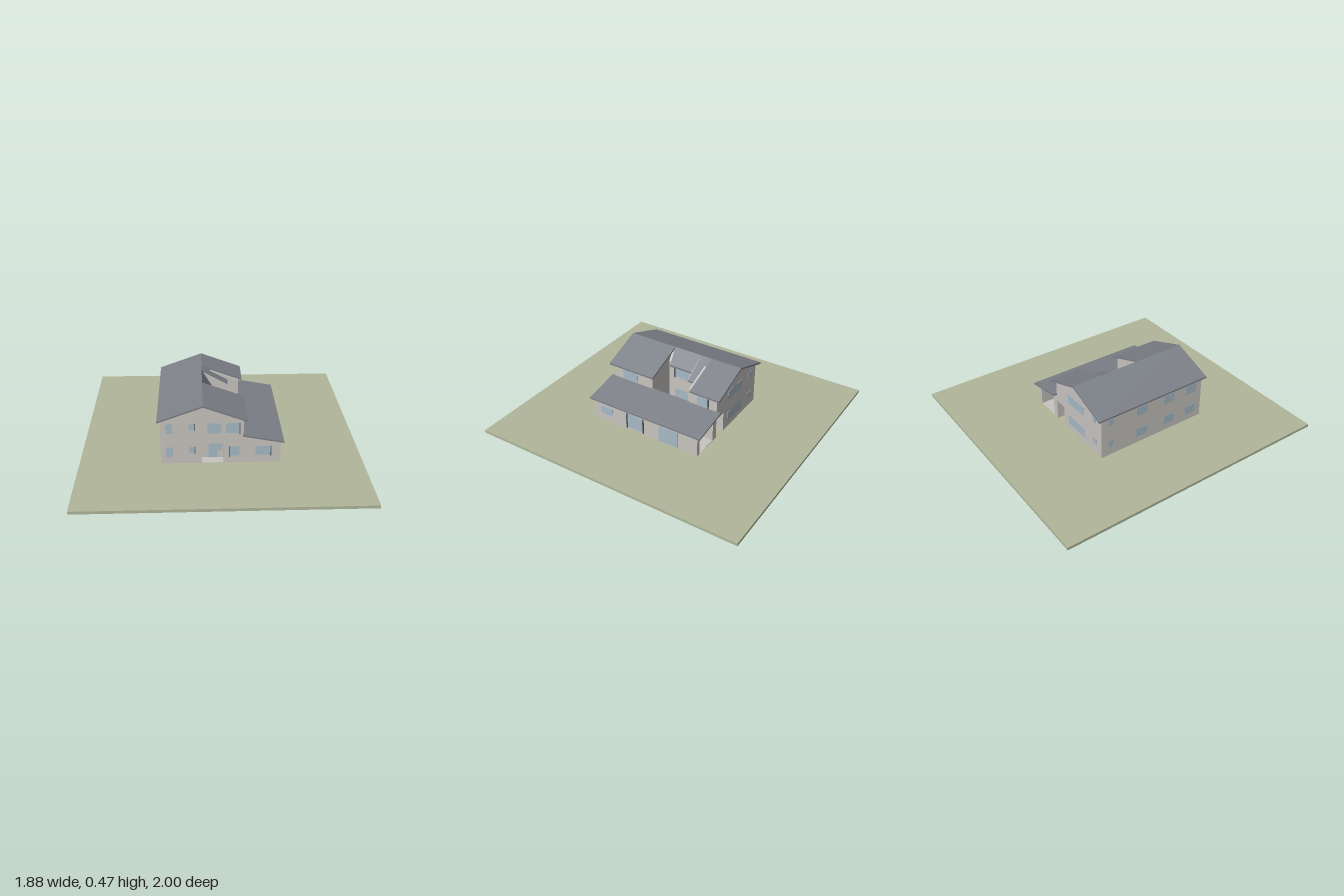
import * as THREE from 'three';

const mat = (name, color) => {
  const m = new THREE.MeshStandardMaterial({ color });
  m.name = name;
  return m;
};

export function createModel() {
  const wall = mat('plaster', 0xc8c4c0);
  const roof = mat('roof slate', 0x7d8188);
  const lawn = mat('lawn', 0xb0b69a);
  const glass = mat('window glass', 0xa6bac6);
  const trim = mat('window trim', 0x6c7074);

  const model = new THREE.Group();
  model.name = 'house';

  const add = (name, geo, material) => {
    const mesh = new THREE.Mesh(geo, material);
    mesh.name = name;
    model.add(mesh);
    return mesh;
  };
  const box = (name, x0, x1, y0, y1, z0, z1, material) =>
    add(name, new THREE.BoxGeometry(x1 - x0, y1 - y0, z1 - z0), material)
      .position.set((x0 + x1) / 2, (y0 + y1) / 2, (z0 + z1) / 2);

  // Extrude an x-y section from z0 to z1
  const section = (name, pts, z0, z1, material, hole) => {
    const v = (list) => list.map(([x, y]) => new THREE.Vector2(x, y));
    const shape = new THREE.Shape(v(pts));
    if (hole) shape.holes.push(new THREE.Path(v(hole)));
    const geo = new THREE.ExtrudeGeometry(shape, { depth: z1 - z0, bevelEnabled: false });
    geo.translate(0, 0, z0);
    add(name, geo, material);
  };
  // Sloping roof slab between two top edge points
  const slab = (name, [ax, ay], [bx, by], z0, z1, t = 0.012) =>
    section(name, [[ax, ay - t], [bx, by - t], [bx, by], [ax, ay]], z0, z1, roof);

  // Ground
  box('lawn', -0.94, 0.94, 0.015, 0.035, -1, 1, lawn);

  // Main wing walls, in slices along z
  const gable = [[0.145, 0.354], [-0.12, 0.453], [-0.4, 0.351]];
  section('frontWing', [[-0.4, 0], [0.145, 0], ...gable], 0.13, 0.385, wall);
  section('frontWallWithPorch', [[-0.4, 0], [-0.13, 0], [-0.13, 0.18], [0.015, 0.18],
    [0.015, 0], [0.145, 0], ...gable], 0.385, 0.455, wall);
  box('porchFloor', -0.13, 0.015, 0, 0.037, 0.385, 0.455, wall);
  section('middleWing', [[-0.4, 0], [-0.07, 0], [-0.07, 0.365], [-0.12, 0.448], [-0.4, 0.351]],
    -0.1, 0.13, wall);
  section('stairTower', [[-0.4, 0], [0.045, 0], [0.045, 0.357], [-0.12, 0.449], [-0.4, 0.351]],
    -0.17, -0.1, wall);
  section('backWingOverPassage', [[-0.4, 0], [0.05, 0], [0.05, 0.185], [0.145, 0.185], ...gable],
    -0.39, -0.17, wall);

  // Low side wing with open garage at the back
  const low = [[0.145, 0], [0.39, 0], [0.39, 0.191], [0.145, 0.237]];
  section('lowWing', low, -0.09, 0.455, wall);
  section('garage', low, -0.39, -0.09, wall,
    [[0.19, 0.038], [0.19, 0.215], [0.36, 0.183], [0.36, 0.038]]);

  // Roofs
  const ridge = [-0.12, 0.465];
  slab('leftRoof', [-0.42, 0.357], ridge, -0.42, 0.48);
  slab('frontRightRoof', ridge, [0.17, 0.357], 0.11, 0.48);
  slab('backRightRoof', ridge, [0.17, 0.357], -0.42, -0.19);
  slab('towerRoof', ridge, [0.065, 0.36], -0.19, -0.11);
  slab('steepCourtyardRoof', ridge, [-0.05, 0.35], -0.11, 0.11, 0.014);
  slab('lowRoof', [0.14, 0.25], [0.41, 0.199], -0.42, 0.48, 0.011);

  // Thin window plates; fin adds a slim side blind at that coordinate
  const paneZ = (z, x0, x1, y0, y1, fin) => {
    box('window', x0, x1, y0, y1, z - 0.002, z + 0.002, glass);
    if (fin !== undefined)
      box('sideBlind', fin - 0.003, fin + 0.003, y0 - 0.005, y1 + 0.002, z - 0.012, z + 0.012, trim);
  };
  const paneX = (x, z0, z1, y0, y1, ...fins) => {
    box('window', x - 0.002, x + 0.002, y0, y1, z0, z1, glass);
    for (const f of fins)
      box('sideBlind', x - 0.012, x + 0.012, y0 - 0.003, y1 + 0.003, f - 0.003, f + 0.003, trim);
  };

  // Front
  const F = 0.455;
  for (const dy of [0, -0.172]) {
    paneZ(F, -0.365, -0.32, 0.256 + dy, 0.328 + dy);
    paneZ(F, -0.215, -0.175, 0.285 + dy, 0.328 + dy, -0.175);
  }
  paneZ(F, -0.09, 0, 0.256, 0.328);
  paneZ(F, 0.03, 0.12, 0.256, 0.328, 0.12);
  paneZ(F, 0.055, 0.12, 0.086, 0.155, 0.052);
  paneZ(F, 0.225, 0.325, 0.091, 0.155, 0.325);
  // Entrance inside the porch
  paneZ(0.385, -0.085, -0.025, 0.037, 0.15);
  paneZ(0.385, -0.016, 0.006, 0.09, 0.155);

  // Side facing +x
  paneX(0.39, 0.3, 0.4, 0.09, 0.15);
  paneX(0.39, 0.04, 0.175, 0.055, 0.165, 0.04, 0.175);
  paneX(0.39, -0.235, -0.085, 0.04, 0.165);
  paneX(0.145, 0.255, 0.38, 0.255, 0.325);
  paneX(0.145, -0.325, -0.235, 0.255, 0.325, -0.325);
  paneX(-0.07, -0.04, 0.08, 0.255, 0.325, 0.08);
  paneX(-0.07, -0.04, 0.08, 0.04, 0.155);

  // Side facing -x
  for (const dy of [0, -0.172]) {
    paneX(-0.4, -0.335, -0.295, 0.275 + dy, 0.325 + dy);
    for (const z of [-0.06, 0.17, 0.36])
      paneX(-0.4, z - 0.045, z + 0.045, 0.256 + dy, 0.325 + dy);
  }

  // Back
  for (const dy of [0, -0.172]) {
    paneZ(-0.39, -0.2, -0.005, 0.256 + dy, 0.325 + dy);
    paneZ(-0.39, -0.34, -0.3, 0.28 + dy, 0.325 + dy);
  }

  return model;
}
